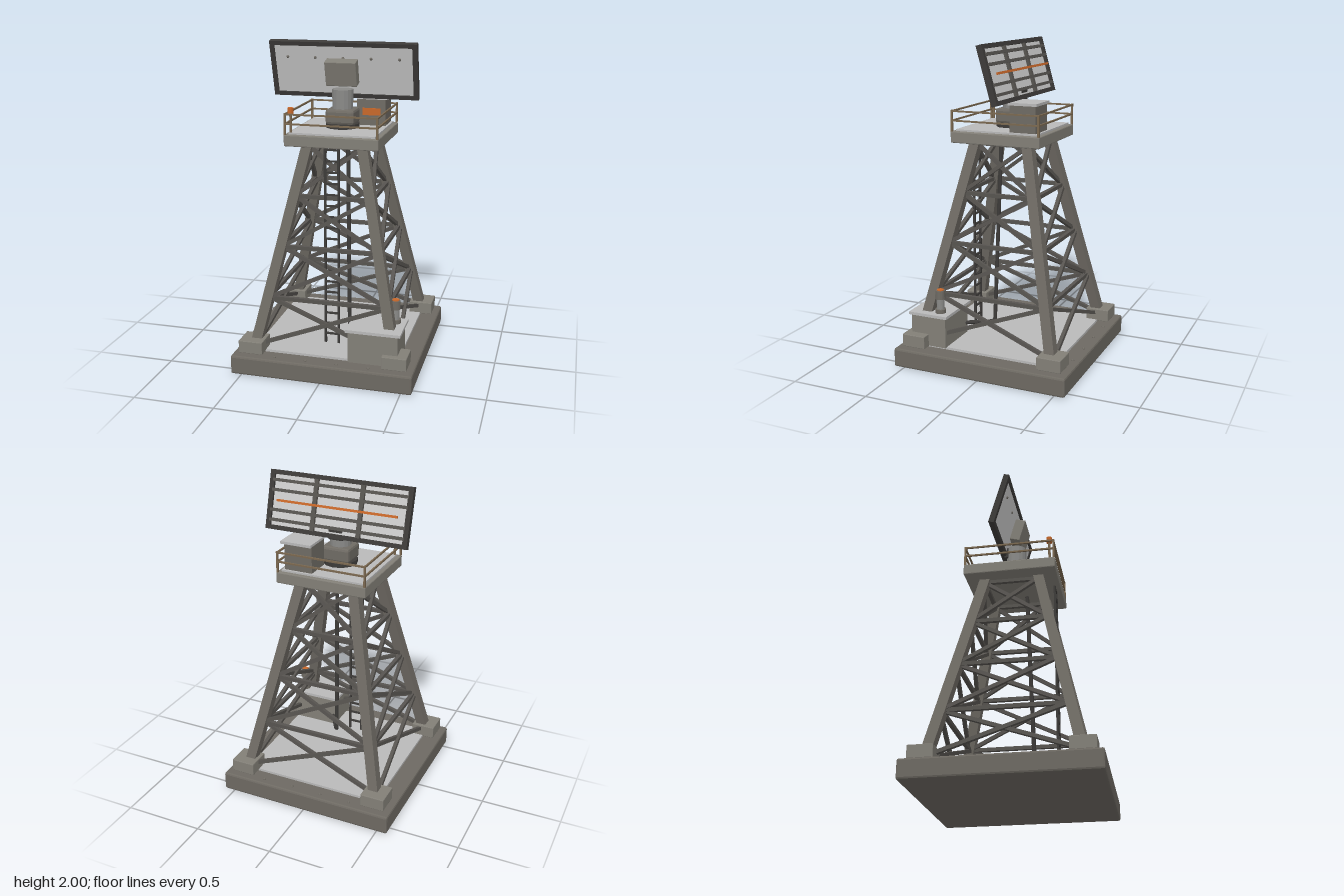
import * as THREE from 'three';
import { RoundedBoxGeometry } from 'three/addons/geometries/RoundedBoxGeometry.js';

const paint = (color) => new THREE.MeshStandardMaterial({ color, flatShading: true });
const plate = paint(0xb9b9b9);
const face = paint(0xcccccc);
const pale = paint(0x827f77);
const stone = paint(0x6d6962);
const steel = paint(0x6f6b64);
const brace = paint(0x575450);
const dark = paint(0x3d3b39);
const pipe = paint(0x8a8a88);
const rail = paint(0x7a6850);
const orange = paint(0xc8682a);
const V = (x, y, z) => new THREE.Vector3(x, y, z);

function add(parent, name, material, geometry, x = 0, y = 0, z = 0) {
  const mesh = new THREE.Mesh(geometry, material);
  mesh.name = name;
  mesh.position.set(x, y, z);
  parent.add(mesh);
  return mesh;
}
const box = (parent, name, material, w, h, d, x, y, z) =>
  add(parent, name, material, new THREE.BoxGeometry(w, h, d), x, y, z);
const slab = (parent, name, material, w, h, d, x, y, z, r) =>
  add(parent, name, material, new RoundedBoxGeometry(w, h, d, 1, r), x, y, z);
const drum = (parent, name, material, r, y0, y1, sides, x = 0, z = 0) =>
  add(parent, name, material, new THREE.CylinderGeometry(r, r, y1 - y0, sides), x, (y0 + y1) / 2, z);

// Square bar between two points
function bar(parent, name, material, a, b, t) {
  const dir = b.clone().sub(a);
  const mesh = add(parent, name, material, new THREE.BoxGeometry(t, dir.length(), t));
  mesh.position.copy(a).add(b).multiplyScalar(0.5);
  mesh.quaternion.setFromUnitVectors(V(0, 1, 0), dir.normalize());
}
function group(parent, name) {
  const g = new THREE.Group();
  g.name = name;
  parent.add(g);
  return g;
}
const legOffset = (y) => 0.43 - (y - 0.2) * 0.2167;

function buildBase(root) {
  const g = group(root, 'base');
  slab(g, 'foundation', stone, 1.135, 0.12, 1.135, 0, 0.06, 0, 0.012);
  box(g, 'floorPlate', plate, 0.9, 0.016, 0.9, 0, 0.127, 0);
  for (const sx of [-1, 1]) for (const sz of [-1, 1])
    slab(g, 'footing', pale, 0.152, 0.08, 0.152, sx * 0.45, 0.168, sz * 0.45, 0.004);
  for (const z of [-0.52, 0.52]) for (const x of [-0.295, -0.098, 0.098, 0.295])
    add(g, 'anchorBolt', steel, new THREE.SphereGeometry(0.01, 8, 6), x, 0.121, z);
}

function buildTower(root) {
  const g = group(root, 'tower');
  for (const sx of [-1, 1]) for (const sz of [-1, 1]) {
    const at = (y) => V(sx * legOffset(y), y, sz * legOffset(y));
    bar(g, 'leg', steel, at(0.17), at(1.41), 0.063);
  }
  // Four braced sides, each turned a quarter
  const levels = [0.16, 0.455, 0.77, 1.08, 1.385];
  for (let i = 0; i < 4; i++) {
    const side = group(g, 'bracedSide');
    side.rotation.y = (i * Math.PI) / 2;
    const at = (sx, y, inset) => V(sx * legOffset(y), y, legOffset(y) - inset);
    for (let k = 0; k < 4; k++) {
      const [a, b] = [levels[k], levels[k + 1]];
      bar(side, 'diagonalBrace', brace, at(-1, a, -0.008), at(1, b, -0.008), 0.023);
      bar(side, 'diagonalBrace', brace, at(1, a, 0.008), at(-1, b, 0.008), 0.023);
      bar(side, 'horizontalBrace', brace, at(-1, b, 0), at(1, b, 0), 0.024);
    }
  }
  // Ladder
  const ladder = group(g, 'ladder');
  for (const x of [-0.042, 0.042]) box(ladder, 'ladderRail', dark, 0.013, 1.26, 0.013, x, 0.77, 0.255);
  for (let i = 0; i < 18; i++) box(ladder, 'rung', dark, 0.084, 0.011, 0.011, 0, 0.2 + i * 0.0695, 0.255);
  // Cable conduit from deck to ground cabinet
  const path = new THREE.CurvePath();
  const p = [V(0.05, 1.38, 0.06), V(0.073, 0.22, 0.098), V(0.09, 0.2, 0.12), V(0.2, 0.2, 0.3)];
  path.add(new THREE.LineCurve3(p[0], p[1]));
  path.add(new THREE.QuadraticBezierCurve3(p[1], V(0.075, 0.2, 0.1), p[2]));
  path.add(new THREE.LineCurve3(p[2], p[3]));
  add(g, 'conduit', dark, new THREE.TubeGeometry(path, 120, 0.013, 8));
}

function buildGroundCabinet(root) {
  const g = group(root, 'groundCabinet');
  box(g, 'cabinetBody', pale, 0.305, 0.195, 0.235, 0.313, 0.23, 0.373);
  box(g, 'cabinetRoof', plate, 0.338, 0.018, 0.26, 0.313, 0.336, 0.37);
  const [x, z] = [0.415, 0.312];
  drum(g, 'exhaustCollar', steel, 0.034, 0.345, 0.37, 16, x, z);
  drum(g, 'exhaustPipe', pipe, 0.024, 0.37, 0.44, 16, x, z);
  drum(g, 'exhaustHead', steel, 0.03, 0.435, 0.49, 16, x, z);
  drum(g, 'exhaustCap', orange, 0.022, 0.49, 0.495, 16, x, z);
}

function buildPlatform(root) {
  const g = group(root, 'platform');
  slab(g, 'deck', pale, 0.58, 0.07, 0.58, 0, 1.43, 0, 0.006);
  box(g, 'deckPlate', plate, 0.53, 0.014, 0.53, 0, 1.469, 0);
  for (let i = 0; i < 4; i++) {
    const side = group(g, 'railing');
    side.rotation.y = (i * Math.PI) / 2;
    box(side, 'railPost', rail, 0.012, 0.135, 0.012, -0.282, 1.527, 0.282);
    for (const y of [1.53, 1.588]) box(side, 'handRail', rail, 0.564, 0.01, 0.01, 0, y, 0.282);
  }
  drum(g, 'beaconPost', rail, 0.008, 1.47, 1.59, 8, -0.255, 0.253);
  drum(g, 'beacon', orange, 0.018, 1.588, 1.625, 12, -0.255, 0.253);
  // Equipment cabinet
  box(g, 'equipmentBox', steel, 0.18, 0.165, 0.165, 0.16, 1.558, -0.168);
  box(g, 'equipmentRoof', plate, 0.2, 0.016, 0.185, 0.17, 1.647, -0.172);
  box(g, 'accessPanel', orange, 0.115, 0.045, 0.008, 0.162, 1.562, -0.085);
  // Turntable
  drum(g, 'turntableFlange', dark, 0.107, 1.474, 1.502, 12);
  slab(g, 'turntable', steel, 0.18, 0.092, 0.17, 0, 1.546, 0, 0.016);
  drum(g, 'mastNeck', pipe, 0.065, 1.59, 1.71, 16);
}

function buildAntenna(root) {
  const g = group(root, 'antenna');
  g.position.set(0, 1.824, -0.034);
  g.rotation.x = 0.275;
  box(g, 'panel', face, 0.875, 0.31, 0.012, 0, 0, 0.004);
  for (const s of [-1, 1]) {
    box(g, 'frameRail', dark, 0.92, 0.026, 0.036, 0, s * 0.166, 0);
    box(g, 'frameSide', dark, 0.03, 0.335, 0.036, s * 0.445, 0, 0);
  }
  // Rear stiffeners
  for (const x of [-0.15, 0.15]) {
    box(g, 'rearPost', brace, 0.026, 0.31, 0.02, x, 0, -0.01);
    box(g, 'standoff', brace, 0.012, 0.012, 0.02, x, 0, -0.028);
  }
  for (const y of [-0.12, -0.06, 0.06, 0.12]) box(g, 'rearSlat', brace, 0.875, 0.018, 0.022, 0, y, -0.013);
  box(g, 'feedStrip', orange, 0.78, 0.014, 0.01, 0, 0, -0.037);
  for (let i = -2; i <= 2; i++)
    add(g, 'panelBolt', steel, new THREE.SphereGeometry(0.009, 8, 6), i * 0.175, 0.078, 0.011);
  // Drive housing on the front, with its mounting block
  slab(g, 'driveHousing', pale, 0.195, 0.155, 0.068, 0, 0.004, 0.057, 0.004);
  box(g, 'housingMount', dark, 0.1, 0.08, 0.02, 0, 0.004, 0.018);
  // Bracket joining the panel to the mast
  box(root, 'mastBracket', dark, 0.09, 0.07, 0.06, 0, 1.674, -0.045);
}

export function createModel() {
  const root = new THREE.Group();
  root.name = 'radarTower';
  buildBase(root);
  buildTower(root);
  buildGroundCabinet(root);
  buildPlatform(root);
  buildAntenna(root);
  return root;
}
